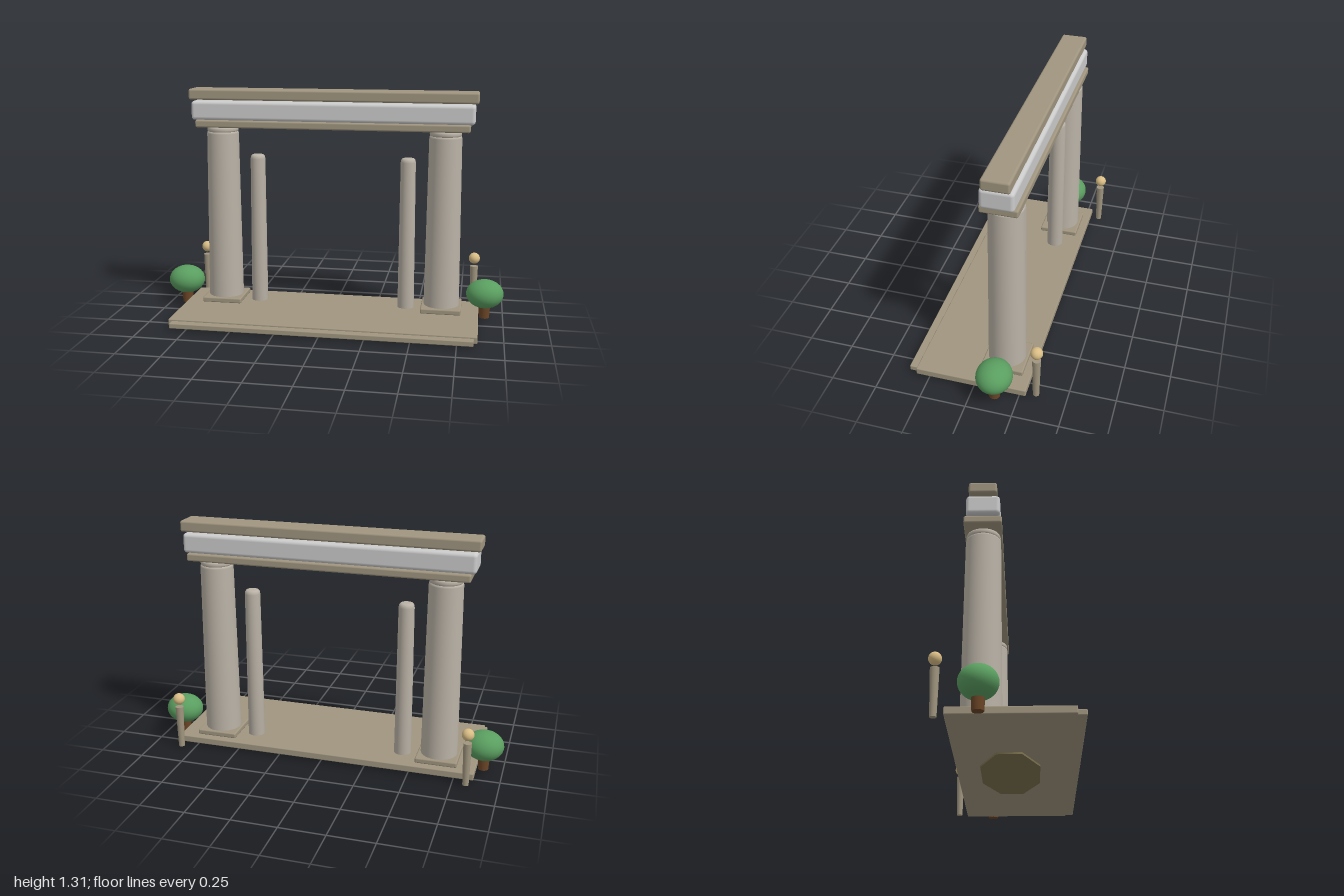
import * as THREE from 'three';
import { RoundedBoxGeometry } from 'three/addons/geometries/RoundedBoxGeometry.js';

const mat = (color) => new THREE.MeshStandardMaterial({ color });

export function createModel() {
  const group = new THREE.Group();
  const stone = mat(0xa0957f), shaft = mat(0xbab2a6), pale = mat(0xcccccc);
  const leaf = mat(0x5a9e60), bark = mat(0x6b4526), glow = mat(0xd9bd85), under = mat(0x7d7350);
  const Z = -0.128; // depth of the row of columns

  const add = (name, geometry, material, x = 0, y = 0, z = 0) => {
    const mesh = new THREE.Mesh(geometry, material);
    mesh.name = name;
    mesh.position.set(x, y, z);
    group.add(mesh);
    return mesh;
  };
  // Rounded block given by width and its y and z ranges
  const block = (name, material, w, y0, y1, z0, z1, r, x = 0) =>
    add(name, new RoundedBoxGeometry(w, y1 - y0, z1 - z0, 3, r), material, x, (y0 + y1) / 2, (z0 + z1) / 2);
  const lathe = (points) =>
    new THREE.LatheGeometry(points.map(([r, y]) => new THREE.Vector2(r, y)), 40);

  // Floor slab, front step and the shallow plate underneath
  block('floorSlab', stone, 1.72, 0.01, 0.05, -0.287, 0.322, 0.006);
  block('frontStep', stone, 1.68, 0.01, 0.04, 0.25, 0.366, 0.005);
  const plate = add('undersidePlate', new THREE.CylinderGeometry(1, 1, 0.012, 8), under, 0, 0.006, 0);
  plate.geometry.rotateY(Math.PI / 8);
  plate.scale.set(0.37, 1, 0.17);

  // Beam in three courses
  block('architrave', stone, 1.565, 1.09, 1.133, -0.226, -0.029, 0.01);
  block('frieze', pale, 1.615, 1.131, 1.241, -0.213, -0.038, 0.02);
  block('cornice', stone, 1.65, 1.246, 1.308, -0.199, -0.053, 0.012);

  // Lathe profiles shared by both sides
  const columnShape = lathe([[0, 0.04], [0.101, 0.04], [0.102, 0.08], [0.092, 1.05], [0.09, 1.058], [0.085, 1.062]]);
  const neckShape = lathe([[0.084, 1.06], [0.088, 1.063], [0.09, 1.07], [0.09, 1.08], [0.087, 1.087], [0.08, 1.091]]);
  const poleShape = lathe([[0, 0.04], [0.048, 0.04], [0.043, 0.905], [0.041, 0.918], [0.034, 0.927], [0.024, 0.93], [0, 0.93]]);

  for (const s of [-1, 1]) {
    // Main column on its plinth
    block('plinth', stone, 0.232, 0.048, 0.079, Z - 0.116, Z + 0.116, 0.008, s * 0.645);
    add('column', columnShape, shaft, s * 0.645, 0, Z);
    add('columnNeck', neckShape, shaft, s * 0.645, 0, Z);

    // Slim free-standing column
    add('slimColumn', poleShape, shaft, s * 0.438, 0, Z);

    // Round tree beside the slab
    add('treeTrunk', new THREE.CylinderGeometry(0.034, 0.029, 0.09, 20), bark, s * 0.893, 0.055, Z);
    add('treeCrown', new THREE.SphereGeometry(1, 32, 20), leaf, s * 0.893, 0.152, Z).scale.set(0.107, 0.083, 0.097);

    // Lamp post behind the slab
    add('lampPost', new THREE.CylinderGeometry(0.023, 0.017, 0.246, 20), stone, s * 0.826, 0.133, -0.336);
    add('lampGlobe', new THREE.SphereGeometry(0.033, 24, 16), glow, s * 0.826, 0.304, -0.336);
  }
  return group;
}
